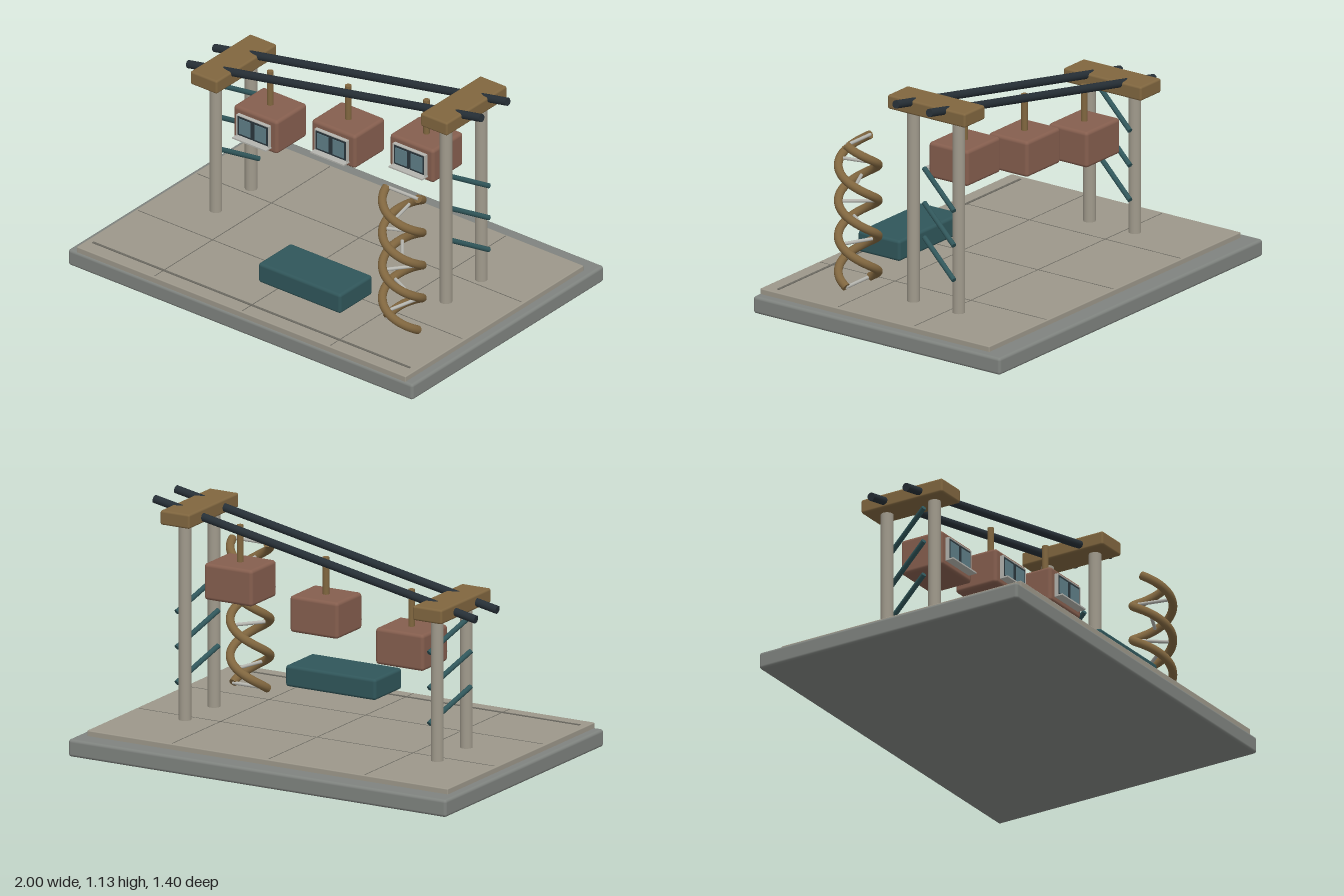
import * as THREE from 'three';
import { RoundedBoxGeometry } from 'three/addons/geometries/RoundedBoxGeometry.js';

const mat = (color) => new THREE.MeshStandardMaterial({ color });
const M = {
  base: mat(0x7f837f), floor: mat(0x9c978a), line: mat(0x6c6a62), post: mat(0xa09a8c),
  wood: mat(0x80663f), cabin: mat(0x855e4e), rail: mat(0x262f36), teal: mat(0x30565a),
  glass: mat(0x5f7f88), frame: mat(0x2a363c), trim: mat(0xb4b4ae),
};

function add(parent, name, geometry, material, x = 0, y = 0, z = 0) {
  const mesh = new THREE.Mesh(geometry, material);
  mesh.name = name;
  mesh.position.set(x, y, z);
  parent.add(mesh);
  return mesh;
}

const rbox = (w, h, d, r) => new RoundedBoxGeometry(w, h, d, 3, r);
const box = (w, h, d) => new THREE.BoxGeometry(w, h, d);

// Round bar between two points
function bar(parent, name, a, b, r, material) {
  const dir = b.clone().sub(a);
  const mesh = add(parent, name, new THREE.CylinderGeometry(r, r, dir.length(), 20), material);
  mesh.position.copy(a).add(b).multiplyScalar(0.5);
  mesh.quaternion.setFromUnitVectors(new THREE.Vector3(0, 1, 0), dir.normalize());
  return mesh;
}
const v = (x, y, z) => new THREE.Vector3(x, y, z);

const FLOOR = 0.108, MID_Z = -0.092;
const railY = (x) => 0.953 + 0.1906 * x;

// Two posts, a cross beam and slanted rungs
function gate(name, x, beamY) {
  const g = new THREE.Group();
  g.name = name;
  for (const z of [0.037, -0.22]) {
    bar(g, 'post', v(x, FLOOR - 0.01, z), v(x, beamY, z), 0.029, M.post);
  }
  add(g, 'crossBeam', rbox(0.155, 0.068, 0.44, 0.01), M.wood, x, beamY, MID_Z);
  for (const y of [0.742, 0.575, 0.408]) {
    bar(g, 'rung', v(x - 0.042, y, 0.007), v(x + 0.042, y - 0.133, -0.224), 0.012, M.teal);
  }
  return g;
}

// Hanging cabin with a double window on its front
function cabin(x, y) {
  const g = new THREE.Group();
  g.name = 'cabin';
  g.position.set(x, y, MID_Z);
  add(g, 'cabinBody', rbox(0.255, 0.172, 0.222, 0.016), M.cabin);
  const top = railY(x) - 0.012 - y;
  bar(g, 'hanger', v(0, 0.08, 0), v(0, top, 0), 0.015, M.wood);
  for (const s of [-1, 1]) {
    add(g, 'windowFrame', box(0.084, 0.098, 0.02), M.frame, s * 0.045, 0.002, 0.118);
    add(g, 'windowPane', box(0.066, 0.078, 0.008), M.glass, s * 0.045, 0.002, 0.127);
    add(g, 'sideTrim', box(0.004, 0.112, 0.02), M.trim, s * 0.092, 0, 0.12);
    add(g, 'edgeTrim', box(0.188, 0.004, 0.02), M.trim, 0, s * 0.055, 0.12);
  }
  add(g, 'sill', box(0.195, 0.007, 0.042), M.trim, 0, -0.056, 0.134);
  return g;
}

// Twin spiral climbing tower with rungs
function spiralTower() {
  const g = new THREE.Group();
  g.name = 'spiralTower';
  g.position.set(0.665, 0, 0.352);
  const R = 0.091, y0 = 0.13, y1 = 0.815, turns = 2;
  const point = (t, phase) => {
    const a = t * turns * Math.PI * 2 + phase;
    return v(R * Math.cos(a), y0 + (y1 - y0) * t, R * Math.sin(a));
  };
  for (const phase of [0, Math.PI]) {
    const pts = Array.from({ length: 65 }, (_, i) => point(i / 64, phase));
    const curve = new THREE.CatmullRomCurve3(pts);
    add(g, 'spiralRail', new THREE.TubeGeometry(curve, 160, 0.02, 14), M.wood);
    for (const t of [0, 1]) {
      const cap = add(g, 'railEnd', new THREE.CircleGeometry(0.02, 14), M.wood);
      cap.position.copy(curve.getPointAt(t));
      const out = curve.getTangentAt(t).multiplyScalar(t ? 1 : -1);
      cap.quaternion.setFromUnitVectors(v(0, 0, 1), out);
    }
  }
  for (let i = 0; i < 8; i++) {
    bar(g, 'spiralRung', point(i / 7, 0), point(i / 7, Math.PI), 0.008, M.trim);
  }
  return g;
}

export function createModel() {
  const model = new THREE.Group();
  model.name = 'playground';

  // Ground
  add(model, 'base', rbox(2, 0.082, 1.4, 0.014), M.base, 0, 0.041, 0);
  add(model, 'floor', rbox(1.91, 0.036, 1.3, 0.005), M.floor, 0, FLOOR - 0.018, 0.043);
  for (const x of [-0.51, 0, 0.51]) {
    add(model, 'floorSeam', box(0.004, 0.002, 1.28), M.line, x, FLOOR, 0.043);
  }
  for (const z of [-0.17, 0.26]) {
    add(model, 'floorSeam', box(1.88, 0.002, 0.004), M.line, 0, FLOOR, z);
  }
  add(model, 'frontStrip', box(1.84, 0.006, 0.012), M.line, 0, FLOOR, 0.617);

  // Gates and sloping rails
  model.add(gate('lowGate', -0.668, 0.814), gate('highGate', 0.668, 1.071));
  for (const z of [0.003, -0.187]) {
    bar(model, 'rail', v(-0.853, railY(-0.853), z), v(0.848, railY(0.848), z), 0.019, M.rail);
  }

  // Cabins
  for (const [x, y] of [[-0.455, 0.594], [-0.002, 0.68], [0.452, 0.767]]) {
    model.add(cabin(x, y));
  }

  model.add(spiralTower());
  add(model, 'bench', rbox(0.478, 0.1, 0.238, 0.014), M.teal, 0.202, 0.224, 0.405);

  return model;
}
